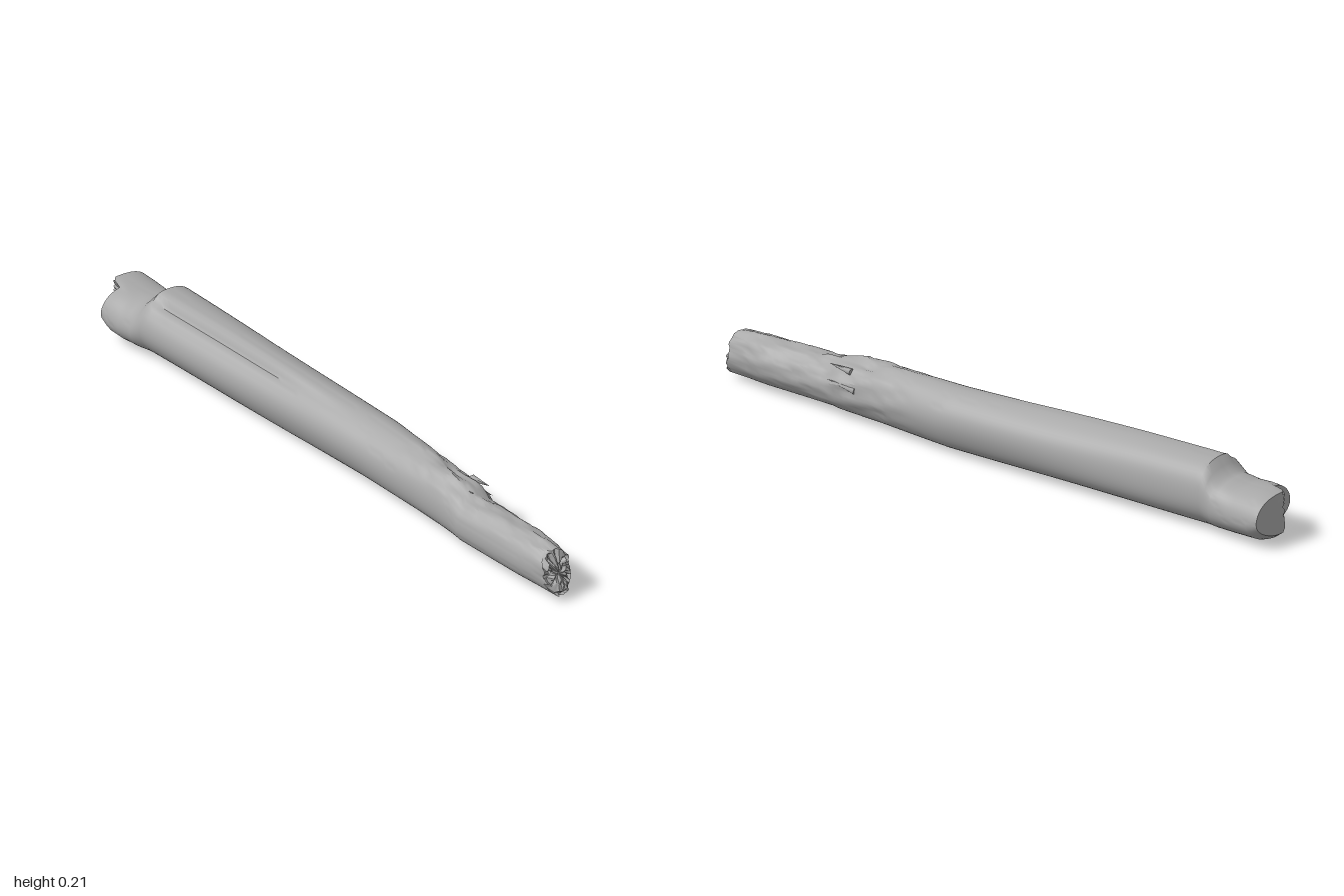
import * as THREE from 'three';
import { toCreasedNormals } from 'three/addons/utils/BufferGeometryUtils.js';

const SIDES = 52;

// Outline of the log along its length: z, xMin, xMax, yBottom, yTop
const STATIONS = [
  [1.0, -0.072, 0.022, 0.016, 0.148],
  [0.94, -0.078, 0.028, 0.015, 0.155],
  [0.85, -0.087, 0.045, 0.014, 0.156],
  [0.6, -0.09, 0.055, 0.013, 0.156],
  [0.57, -0.088, 0.066, 0.013, 0.17],
  [0.5, -0.084, 0.07, 0.012, 0.183],
  [0.4, -0.08, 0.074, 0.011, 0.186],
  [0.15, -0.08, 0.1, 0.008, 0.19],
  [-0.1, -0.085, 0.1, 0.006, 0.196],
  [-0.5, -0.098, 0.1, 0.004, 0.206],
  [-0.78, -0.107, 0.1, 0.002, 0.21],
  [-0.82, -0.109, 0.1, 0.002, 0.165],
  [-0.88, -0.113, 0.102, 0.002, 0.155],
  [-0.97, -0.113, 0.108, 0.004, 0.157],
  [-1.0, -0.11, 0.108, 0.026, 0.152],
];

const smooth = THREE.MathUtils.smoothstep;
const bump = (v, center, width) => Math.exp(-(((v - center) / width) ** 2));

function outlineAt(z) {
  let i = 0;
  while (i < STATIONS.length - 2 && z < STATIONS[i + 1][0]) i++;
  const a = STATIONS[i], b = STATIONS[i + 1];
  const t = (a[0] - z) / (a[0] - b[0]);
  return a.map((v, k) => v + (b[k] - v) * t);
}

// Repeatable value noise in the range -1..1
function hash(i, j) {
  const s = Math.sin(i * 127.1 + j * 311.7) * 43758.5453;
  return (s - Math.floor(s)) * 2 - 1;
}

// One point on the bark, at angle a around the log
function barkPoint(z, a, ring, side) {
  const [, x0, x1, y0, y1] = outlineAt(z);
  const cx = (x0 + x1) / 2, cy = y0 + (y1 - y0) * 0.5;
  const deg = (a * 180) / Math.PI;

  // Long grain ripples, and broken wood on the torn front part
  let r = 0.985 + 0.012 * Math.sin(5 * a + 3 * z) + 0.01 * Math.sin(3 * a - 7 * z);
  const torn = smooth(z, 0.2, 0.5) * smooth(Math.cos(a - 0.9), -0.3, 0.5);
  r += torn * (0.035 * hash(ring >> 1, side >> 1) + 0.03 * Math.sin(9 * a + 22 * z));
  r -= 0.22 * bump(z, 0.47, 0.05) * bump(deg, 68, 16);

  // Split along the upper side, with a lower shoulder beside it
  const split = smooth(z, -0.82, -0.72) * (1 - smooth(z, -0.35, 0.1));
  r -= split * (0.17 * bump(deg, 122, 9) + 0.05 * bump(deg, 142, 14));
  r += split * 0.03 * bump(deg, 107, 7);

  return new THREE.Vector3(cx + ((x1 - x0) / 2) * r * Math.cos(a), cy + ((y1 - y0) / 2) * r * Math.sin(a), z);
}

// Depth of the two ends: ragged slope in front, stepped break at the back
const frontEnd = (x, y, n) => 0.995 - 0.3 * Math.max(0, y - 0.03) - 6 * (x + 0.02) ** 2 + 0.014 * n;
const backShift = (x, z) => 0.05 * (1 - smooth(x, -0.036, -0.022)) * smooth(-z, 0.84, 1);

function logGeometry() {
  const rings = [];
  const circle = (fn) => Array.from({ length: SIDES }, (_, i) => fn((i / SIDES) * Math.PI * 2, i));
  const frontPoint = (s, i, a, k) => {
    const c = outlineAt(0.97);
    const p = barkPoint(0.97, a, 3, i);
    const mx = (c[1] + c[2]) / 2, my = (c[3] + c[4]) / 2;
    p.x = mx + (p.x - mx) * s;
    p.y = my + (p.y - my) * s;
    p.z = Math.min(1, frontEnd(p.x, p.y, s > 0.1 ? hash(k + 40, i >> 1) : 0));
    return p;
  };
  // Front break, from the middle outwards
  [0.01, 0.25, 0.5, 0.75, 0.92, 1].forEach((s, k) => rings.push(circle((a, i) => frontPoint(s, i, a, k))));

  // Bark
  const zs = [];
  for (let z = 0.92; z > -1; z -= 0.02) zs.push(z);
  zs.push(-1);
  zs.forEach((z, k) => rings.push(circle((a, i) => {
    const p = barkPoint(z, a, k, i);
    p.z += backShift(p.x, z);
    return p;
  })));

  // Back break, from the rim inwards
  [0.85, 0.6, 0.4, 0.2, 0.01].forEach((s) => rings.push(circle((a, i) => {
    const p = barkPoint(-1, a, 0, i);
    p.x *= s;
    p.y = 0.09 + (p.y - 0.09) * s;
    p.z += backShift(p.x, -1);
    return p;
  })));

  const index = [];
  for (let k = 0; k < rings.length - 1; k++) {
    for (let i = 0; i < SIDES; i++) {
      const j = (i + 1) % SIDES;
      const a = k * SIDES + i, b = k * SIDES + j;
      index.push(a, a + SIDES, b, b, a + SIDES, b + SIDES);
    }
  }
  const geometry = new THREE.BufferGeometry().setFromPoints(rings.flat());
  geometry.setIndex(index);
  return toCreasedNormals(geometry, 0.75);
}

export function createModel() {
  const group = new THREE.Group();
  group.name = 'brokenLog';
  const wood = new THREE.MeshStandardMaterial({ color: 0xa8a8a8 });
  wood.name = 'grey wood';

  const log = new THREE.Mesh(logGeometry(), wood);
  log.name = 'log';
  group.add(log);

  // Splinters left standing at the torn edge: x, y, z, radius, length
  [
    [0.064, 0.115, 0.53, 0.012, 0.1],
    [0.045, 0.158, 0.55, 0.011, 0.08],
    [-0.02, 0.162, 0.56, 0.013, 0.08],
  ].forEach(([x, y, z, radius, length]) => {
    const splinter = new THREE.Mesh(new THREE.ConeGeometry(radius, length, 5), wood);
    splinter.name = 'splinter';
    splinter.position.set(x, y, z);
    splinter.rotation.x = Math.PI / 2 - 0.12;
    group.add(splinter);
  });
  return group;
}
